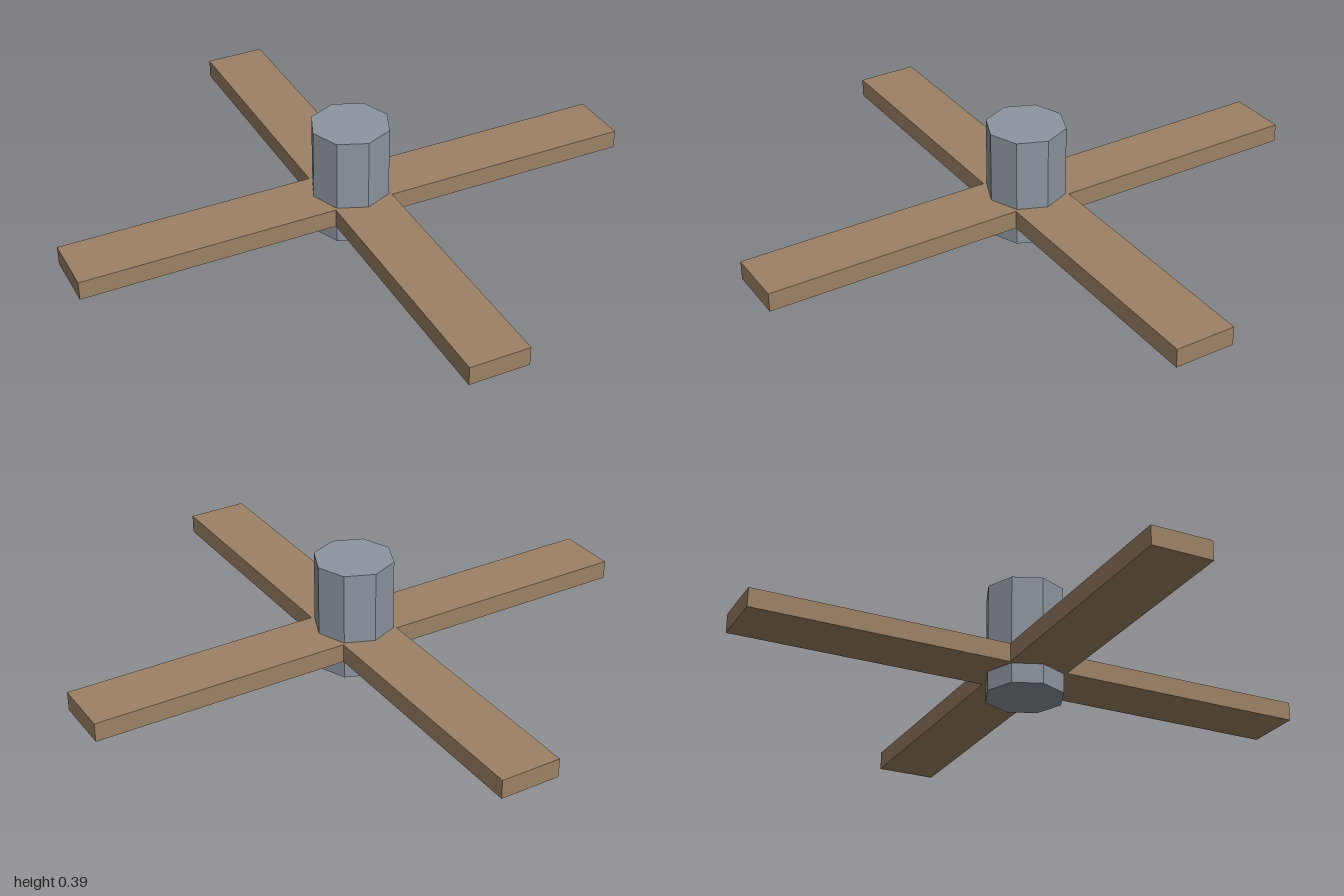
import * as THREE from 'three';

export function createModel() {
  const model = new THREE.Group();
  model.name = 'rotor';

  const wood = new THREE.MeshStandardMaterial({ color: 0x9c8165 });
  wood.name = 'wood';
  const metal = new THREE.MeshStandardMaterial({ color: 0x8d959f });
  metal.name = 'grey metal';
  wood.flatShading = metal.flatShading = true;

  // Eight-sided hub with corners on the axes
  const hubHeight = 0.386;
  const hub = new THREE.Mesh(new THREE.CylinderGeometry(0.137, 0.137, hubHeight, 8), metal);
  hub.name = 'hub';
  hub.position.y = hubHeight / 2;
  model.add(hub);

  // Crossed beams as one plus-shaped slab: each quarter turn adds one arm
  const half = 0.105, thickness = 0.066;
  const corners = [];
  for (let i = 0; i < 4; i++) {
    for (const [x, y] of [[1, -half], [1, half], [half, half]]) {
      corners.push(new THREE.Vector2(x, y).rotateAround(new THREE.Vector2(), i * Math.PI / 2));
    }
  }
  const slab = new THREE.ExtrudeGeometry(new THREE.Shape(corners), { depth: thickness, bevelEnabled: false });
  slab.rotateX(-Math.PI / 2);
  const beams = new THREE.Mesh(slab, wood);
  beams.name = 'crossBeams';
  beams.position.y = 0.069;
  model.add(beams);

  return model;
}
